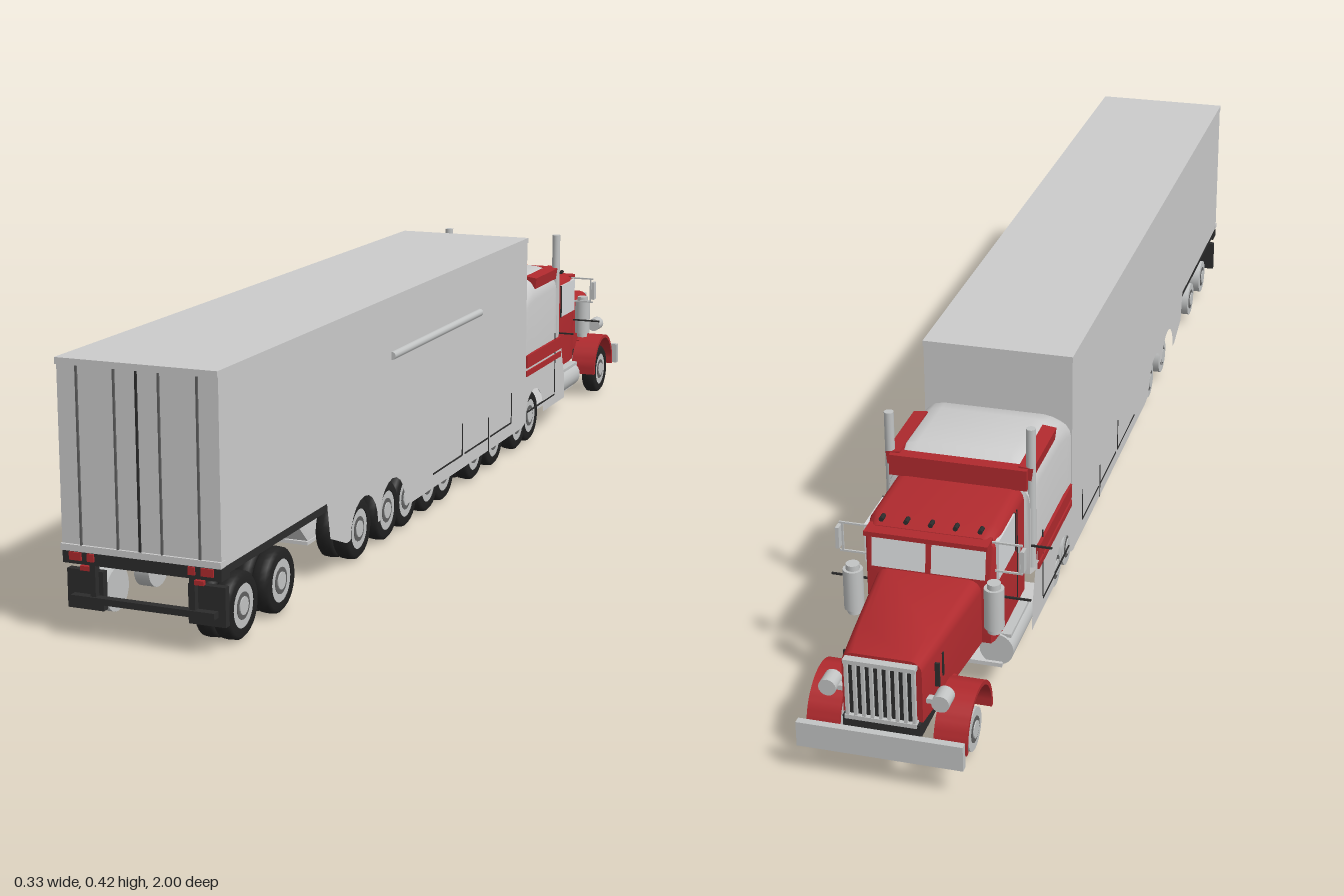
import * as THREE from 'three';
import { toCreasedNormals } from 'three/addons/utils/BufferGeometryUtils.js';

const paint = (name, color) => {
  const m = new THREE.MeshStandardMaterial({ color });
  m.name = name;
  return m;
};

export function createModel() {
  const root = new THREE.Group();
  root.name = 'longTruck';
  const silver = paint('silver', 0xcccccc), chrome = paint('chrome', 0xc2c4c4);
  const red = paint('red', 0xb02a2e), dark = paint('dark', 0x2c2c2c);
  const rubber = paint('rubber', 0x222222), glass = paint('glass', 0xd6d8da);
  const lineGrey = paint('lineGrey', 0x606060);

  const add = (name, geo, mat) => {
    const m = new THREE.Mesh(geo, mat);
    m.name = name;
    root.add(m);
    return m;
  };
  // box from its limits
  const box = (name, mat, x0, x1, y0, y1, z0, z1) => {
    const m = add(name, new THREE.BoxGeometry(Math.abs(x1 - x0), y1 - y0, Math.abs(z1 - z0)), mat);
    m.position.set((x0 + x1) / 2, (y0 + y1) / 2, (z0 + z1) / 2);
    return m;
  };
  const both = (f) => [1, -1].forEach(f);
  // cylinder along a chosen axis
  const rod = (name, mat, axis, r, len, x, y, z, seg = 16) => {
    const g = new THREE.CylinderGeometry(r, r, len, seg);
    if (axis === 'x') g.rotateZ(Math.PI / 2);
    if (axis === 'z') g.rotateX(Math.PI / 2);
    const m = add(name, g, mat);
    m.position.set(x, y, z);
    return m;
  };
  // hull through round-topped sections [z, half width, bottom, top, corner radius], z falling
  const loft = (name, mat, sections) => {
    const pos = [], idx = [], n = 12;
    for (const [z, w, y0, y1, r] of sections) {
      pos.push(-w, y0, z, w, y0, z);
      for (let i = 0; i < 10; i++) {
        const right = i < 5, a = ((right ? i : i - 1) / 8) * Math.PI;
        pos.push((right ? w - r : r - w) + r * Math.cos(a), y1 - r + r * Math.sin(a), z);
      }
    }
    for (let i = 0; i < sections.length - 1; i++) {
      for (let j = 0; j < n; j++) {
        const a = i * n + j, b = i * n + ((j + 1) % n), c = b + n, d = a + n;
        idx.push(a, d, c, a, c, b);
      }
    }
    const e = (sections.length - 1) * n;
    for (let j = 1; j < n - 1; j++) idx.push(0, j, j + 1, e, e + j + 1, e + j);
    const g = new THREE.BufferGeometry();
    g.setAttribute('position', new THREE.Float32BufferAttribute(pos, 3));
    g.setIndex(idx);
    g.computeVertexNormals();
    return add(name, toCreasedNormals(g, 0.6), mat);
  };

  // trailer box with rear doors
  box('trailerBody', silver, -0.13, 0.13, 0.137, 0.42, -0.345, 0.996);
  box('trailerRoof', silver, -0.131, 0.131, 0.415, 0.425, -0.347, 1);
  box('doorSill', silver, -0.131, 0.131, 0.137, 0.147, 0.985, 1);
  for (const x of [-0.097, -0.036, 0, 0.036, 0.097])
    box('doorBar', x ? lineGrey : dark, x - 0.0015, x + 0.0015, 0.147, 0.415, 0.994, 0.999);
  box('trailerUnderside', dark, -0.128, 0.128, 0.123, 0.137, 0.62, 0.99);
  box('wheelWellLining', dark, -0.124, 0.124, 0.133, 0.1365, 0.25, 0.62);
  rod('awningRoller', chrome, 'z', 0.007, 0.43, 0.131, 0.324, 0.145, 12);

  // rear frame, flaps and lamps
  box('rearFrame', dark, -0.13, 0.13, 0.117, 0.136, 0.97, 0.996);
  box('underrunBar', dark, -0.118, 0.118, 0.059, 0.069, 0.985, 0.998);
  both((s) => {
    box('mudFlap', dark, s * 0.07, s * 0.13, 0.045, 0.105, 0.973, 0.985);
    box('underrunPost', dark, s * 0.077, s * 0.086, 0.06, 0.12, 0.982, 0.995);
    box('tailLamp', red, s * 0.098, s * 0.118, 0.123, 0.135, 0.994, 0.999);
    box('innerTailLamp', red, s * 0.077, s * 0.088, 0.123, 0.135, 0.994, 0.999);
    box('lowerLamp', red, s * 0.086, s * 0.101, 0.108, 0.115, 0.99, 0.997);
  });

  // belly between the wheels
  loft('belly', silver, [
    [0.615, 0.058, 0.11, 0.138, 0.001], [0.545, 0.058, 0.045, 0.138, 0.001],
    [-0.6, 0.058, 0.045, 0.138, 0.001]]);
  box('redFloor', red, -0.085, 0.085, 0.034, 0.044, -0.32, 0.25);
  box('rearFloor', silver, -0.06, 0.06, 0.039, 0.045, 0.25, 0.55);
  box('sleeperFloor', silver, -0.11, 0.11, 0.049, 0.056, -0.72, -0.47);

  // side skirts with wheel arches
  const arch = (c) => Array.from({ length: 11 }, (_, i) => {
    const a = (i / 10) * Math.PI;
    return [c + 0.058 * Math.cos(a), 0.05 + 0.06 * Math.sin(a)];
  });
  const outline = [[0.625, 0.14], [0.612, 0.075], [0.548, 0.05], ...arch(0.473), ...arch(0.35),
    [0.26, 0.045], [-0.33, 0.045], ...arch(-0.405), [-0.605, 0.05], [-0.6, 0.1], [-0.572, 0.18], [-0.345, 0.18], [-0.345, 0.14]];
  both((s) => {
    const shape = new THREE.Shape(outline.map(([z, y]) => new THREE.Vector2(-s * z, y)));
    const skirt = add('sideSkirt', new THREE.ShapeGeometry(shape).rotateY(s * Math.PI / 2), silver);
    skirt.position.x = s * 0.1285;
    // locker seams
    const seam = (z0, z1, y0, y1) => box('lockerSeam', dark, s * 0.1275, s * 0.1295, y0, y1, z0, z1);
    for (const [z, y0, y1] of [[0.013, 0.07, 0.13], [-0.13, 0.045, 0.11], [-0.262, 0.07, 0.13], [-0.535, 0.075, 0.2]])
      seam(z - 0.0015, z + 0.0015, y0, y1);
    for (const [z0, z1] of [[0.16, 0.013], [0, -0.13], [-0.14, -0.262], [-0.36, -0.535]])
      seam(z0, z1, 0.069, 0.072);
    // painted stripes
    box('wideStripe', red, s * 0.126, s * 0.1315, 0.162, 0.187, -0.349, -0.568);
    box('thinStripe', red, s * 0.126, s * 0.1315, 0.145, 0.156, -0.349, -0.568);
  });

  // sleeper and its red roof trim
  loft('sleeper', silver, [
    [-0.344, 0.128, 0.138, 0.305, 0.03], [-0.37, 0.127, 0.138, 0.325, 0.04],
    [-0.41, 0.125, 0.138, 0.335, 0.045], [-0.54, 0.124, 0.138, 0.338, 0.045],
    [-0.565, 0.122, 0.138, 0.325, 0.04], [-0.576, 0.118, 0.138, 0.3, 0.03]]);
  both((s) => {
    const trim = box('roofTrimArm', red, s * 0.098, s * 0.122, 0.311, 0.333, -0.425, -0.575);
    trim.rotation.z = -s * 0.12;
  });
  box('roofTrimFront', red, -0.115, 0.115, 0.295, 0.331, -0.562, -0.584);

  // cab
  loft('cab', red, [
    [-0.575, 0.108, 0.108, 0.296, 0.02], [-0.7, 0.108, 0.108, 0.296, 0.02],
    [-0.735, 0.104, 0.108, 0.289, 0.02], [-0.745, 0.1, 0.108, 0.225, 0.01]]);
  box('sunVisor', red, -0.1, 0.1, 0.28, 0.288, -0.725, -0.757);
  for (const x of [-0.08, -0.04, 0, 0.04, 0.08])
    rod('roofLamp', dark, 'z', 0.004, 0.014, x, 0.296, -0.722, 8);
  both((s) => {
    const w = box('windshield', glass, s * 0.005, s * 0.092, 0.222, 0.279, -0.738, -0.744);
    w.rotation.x = 0.15;
    box('doorWindow', glass, s * 0.103, s * 0.1095, 0.215, 0.282, -0.635, -0.727);
    box('windowPost', dark, s * 0.107, s * 0.1105, 0.215, 0.282, -0.632, -0.635);
    box('doorSeam', dark, s * 0.107, s * 0.1093, 0.12, 0.28, -0.618, -0.62);
    // mirrors and thin rods
    box('mirror', chrome, s * 0.147, s * 0.153, 0.24, 0.277, -0.725, -0.74);
    for (const y of [0.232, 0.282]) box('mirrorArm', chrome, s * 0.1, s * 0.149, y, y + 0.003, -0.73, -0.733);
    box('mirrorBar', chrome, s * 0.142, s * 0.145, 0.232, 0.284, -0.73, -0.733);
    box('markerRod', dark, s * 0.1, s * 0.163, 0.19, 0.193, -0.735, -0.738);
    box('grabRod', dark, s * 0.12, s * 0.155, 0.191, 0.194, -0.575, -0.578);
    // exhaust, air cleaner, tank and steps
    rod('exhaustStack', chrome, 'y', 0.008, 0.25, s * 0.118, 0.275, -0.567);
    rod('airCleaner', chrome, 'y', 0.016, 0.07, s * 0.114, 0.193, -0.772);
    rod('airCleanerCap', chrome, 'y', 0.011, 0.088, s * 0.114, 0.193, -0.772);
    rod('fuelTank', chrome, 'z', 0.028, 0.125, s * 0.1, 0.078, -0.652, 24);
    box('cabStep', chrome, s * 0.085, s * 0.123, 0.1, 0.106, -0.6, -0.71);
  });

  // hood, grille and bumper
  loft('hood', red, [[-0.74, 0.086, 0.108, 0.219, 0.02], [-0.9, 0.07, 0.108, 0.216, 0.02],
    [-0.975, 0.062, 0.108, 0.212, 0.018]]);
  box('chassis', dark, -0.06, 0.06, 0.083, 0.108, -0.6, -0.985);
  box('grilleBack', dark, -0.053, 0.053, 0.108, 0.203, -0.972, -0.981);
  for (let i = 0; i < 9; i++) {
    const x = -0.052 + i * 0.013;
    box('grilleBar', chrome, x - 0.0025, x + 0.0025, 0.108, 0.203, -0.979, -0.987);
  }
  for (const y of [0.104, 0.2]) box('grilleFrame', chrome, -0.056, 0.056, y, y + 0.007, -0.974, -0.988);
  box('bumper', chrome, -0.13, 0.13, 0.05, 0.092, -0.988, -1);
  both((s) => {
    for (const z of [-0.87, -0.9, -0.93]) {
      const w = 0.07 + (z + 0.9) * -0.1;
      box('hoodVent', dark, s * (w - 0.005), s * (w + 0.002), 0.145, 0.185, z - 0.002, z + 0.002);
    }
    rod('headlamp', chrome, 'z', 0.014, 0.03, s * 0.088, 0.142, -0.957);
    box('headlampBracket', chrome, s * 0.06, s * 0.085, 0.134, 0.142, -0.95, -0.962);
    // arched front fender
    const f = new THREE.Shape();
    f.absarc(0, 0, 0.07, -0.1, Math.PI + 0.1, false);
    f.absarc(0, 0, 0.063, Math.PI + 0.1, -0.1, true);
    const g = new THREE.ExtrudeGeometry(f, { depth: 0.052, bevelEnabled: false, curveSegments: 16 });
    const fender = add('frontFender', toCreasedNormals(g.translate(0, 0, -0.026).rotateY(Math.PI / 2), 0.6), red);
    fender.position.set(s * 0.1, 0.06, -0.897);
    box('fenderBrace', red, s * 0.06, s * 0.08, 0.108, 0.122, -0.86, -0.935);
  });

  // wheels: tyres on the left side, bare rims on the right
  const tyreGeo = (w) => new THREE.LatheGeometry([
    [0.034, -w], [0.046, -w], [0.051, -w * 0.7], [0.052, 0], [0.051, w * 0.7], [0.046, w], [0.034, w], [0.034, -w],
  ].map(([r, h]) => new THREE.Vector2(r, h)), 28).rotateZ(Math.PI / 2);
  const tyre = tyreGeo(0.0145);
  for (const z of [0.905, 0.775, 0.473, 0.352, 0.265, 0.16, 0.08, -0.08, -0.19, -0.33, -0.405, -0.897]) {
    const front = z < -0.8;
    for (const x of front ? [0.105] : [0.075, 0.105])
      add('tyre', tyre, rubber).position.set(x, 0.053, z);
    both((s) => {
      rod('rim', chrome, 'x', 0.0345, 0.026, s * 0.105, 0.053, z, 24);
      rod('rimRecess', lineGrey, 'x', 0.021, 0.001, s * 0.1183, 0.053, z, 20);
      rod('hub', chrome, 'x', 0.014, 0.01, s * 0.1155, 0.053, z, 14);
    });
    if (!front) rod('innerRim', chrome, 'x', 0.0342, 0.024, 0.075, 0.053, z, 20);
  }
  for (const z of [0.1, -0.1]) rod('centreWheel', rubber, 'x', 0.022, 0.011, 0, 0.0225, z, 20);
  return root;
}
